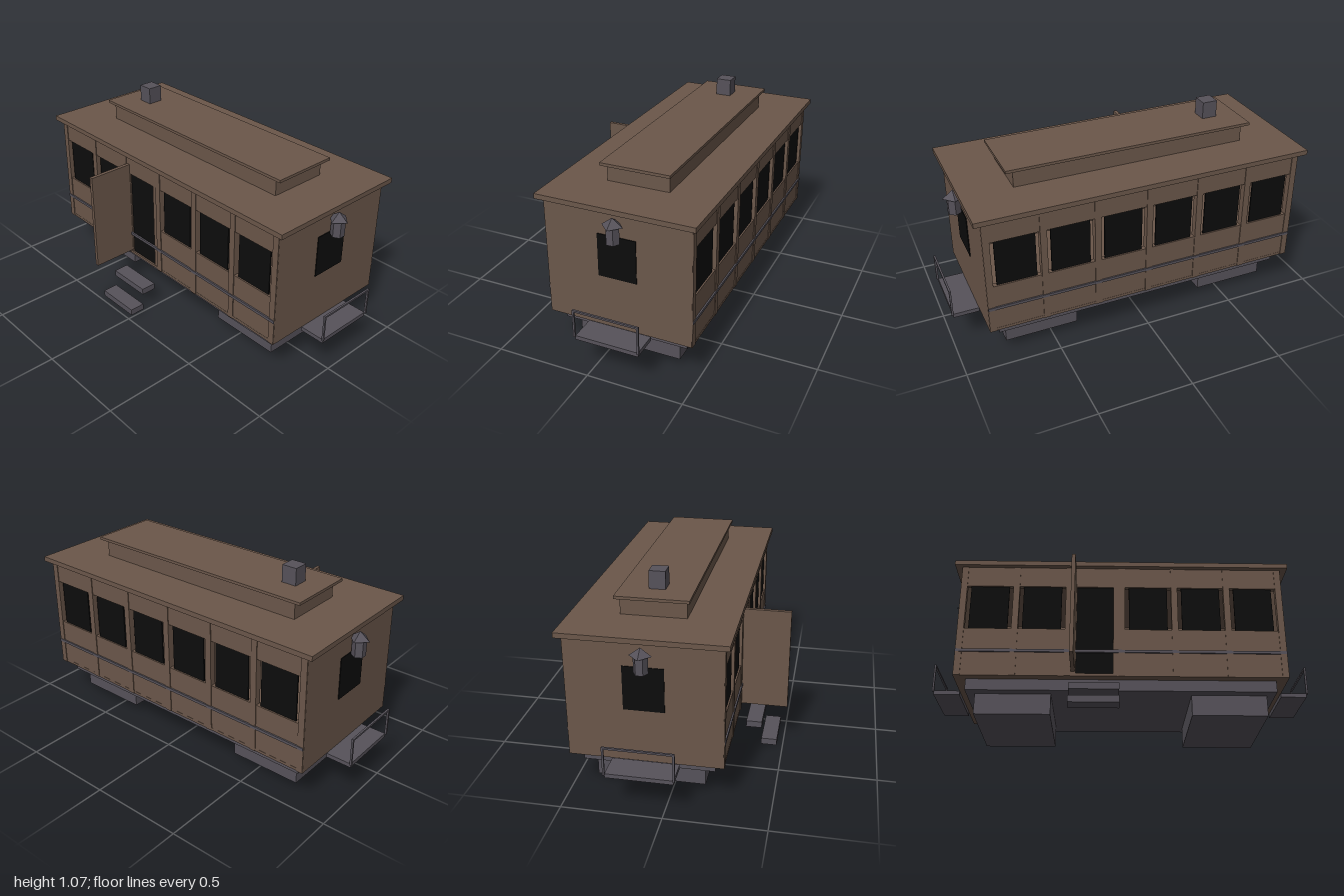
import * as THREE from 'three';

const mat = (name, color) => {
  const m = new THREE.MeshStandardMaterial({ color });
  m.name = name;
  return m;
};

export function createModel() {
  const brown = mat('brown wood', 0x6b574a);
  const grey = mat('grey iron', 0x56525a);
  const black = mat('dark glass', 0x0c0c0c);
  const car = new THREE.Group();
  car.name = 'tramCar';

  const add = (parent, name, geo, material, x = 0, y = 0, z = 0) => {
    const mesh = new THREE.Mesh(geo, material);
    mesh.name = name;
    mesh.position.set(x, y, z);
    parent.add(mesh);
    return mesh;
  };
  // Box given by its limits on each axis
  const box = (parent, name, material, x0, x1, y0, y1, z0, z1) =>
    add(parent, name, new THREE.BoxGeometry(x1 - x0, y1 - y0, z1 - z0), material,
      (x0 + x1) / 2, (y0 + y1) / 2, (z0 + z1) / 2);

  const midZ = -0.108, bay = 0.28, post = 0.017;

  // Underframe, bogies and floor
  box(car, 'underframe', grey, -0.8, 0.8, 0.155, 0.215, -0.435, 0.22);
  for (const s of [-1, 1])
    add(car, 'bogie', new THREE.BoxGeometry(0.392, 0.11, 0.546), grey, s * 0.56, 0.1, midZ);
  box(car, 'floor', brown, -0.856, 0.856, 0.215, 0.23, -0.485, 0.269);

  // Side walls: built around local z = 0 as the outer face, facing +z
  const makeSide = (name, doorBay) => {
    const side = new THREE.Group();
    side.name = name;
    box(side, 'frieze', brown, -0.857, 0.857, 0.73, 0.845, -0.03, -0.004);
    for (let i = 0; i <= 6; i++) {
      const x = (i - 3) * bay;
      box(side, 'wallPost', brown, x - post, x + post, 0.215, 0.845, -0.034, 0);
    }
    for (let i = 0; i < 6; i++) {
      const x = (i - 2.5) * bay, w = bay / 2 - post;
      if (i === doorBay) {
        box(side, 'doorOpening', black, x - 0.098, x + 0.098, 0.23, 0.73, -0.02, -0.012);
        for (const s of [-1, 1])
          add(side, 'doorJamb', new THREE.BoxGeometry(0.028, 0.515, 0.024), brown,
            x + s * 0.11, 0.4725, -0.017);
      } else {
        box(side, 'lowerPanel', brown, x - w, x + w, 0.215, 0.48, -0.03, -0.004);
        box(side, 'windowPane', black, x - 0.102, x + 0.102, 0.48, 0.73, -0.02, -0.012);
      }
    }
    box(side, 'beltRail', grey, -0.857, 0.857, 0.345, 0.36, -0.006, 0.004);
    car.add(side);
    return side;
  };
  makeSide('frontSide', 2).position.z = 0.272;
  const back = makeSide('backSide', -1);
  back.position.z = -0.488;
  back.rotation.y = Math.PI;

  // Open door and hanging steps
  box(car, 'doorLeaf', brown, -0.26, -0.24, 0.24, 0.785, 0.262, 0.515);
  box(car, 'upperStep', grey, -0.265, -0.015, 0.1, 0.135, 0.3, 0.384);
  box(car, 'lowerStep', grey, -0.265, -0.015, 0, 0.035, 0.384, 0.468);

  // Ends: wall, window, platform with railing, and lamp
  for (const s of [1, -1]) {
    const end = new THREE.Group();
    end.name = s > 0 ? 'leftEnd' : 'rightEnd';
    box(end, 'endWall', brown, 0.835, 0.858, 0.215, 0.845, -0.484, 0.268);
    box(end, 'endWindow', black, 0.857, 0.862, 0.49, 0.715, -0.207, -0.008);
    box(end, 'platform', grey, 0.855, 0.992, 0.19, 0.212, -0.273, 0.058);
    box(end, 'railingPost', grey, 0.99, 1, 0.208, 0.35, 0.055, 0.065);
    box(end, 'railingPost', grey, 0.99, 1, 0.208, 0.35, -0.28, -0.27);
    box(end, 'topRail', grey, 0.99, 1, 0.349, 0.359, -0.28, 0.065);
    add(end, 'lampBody', new THREE.CylinderGeometry(0.035, 0.035, 0.087, 6).toNonIndexed(),
      grey, 0.893, 0.747, midZ).geometry.computeVertexNormals();
    add(end, 'lampCap', new THREE.ConeGeometry(0.054, 0.041, 4).toNonIndexed(),
      grey, 0.893, 0.81, midZ).geometry.computeVertexNormals();
    // The whole end is symmetric about its middle plane, so a turn mirrors it
    if (s < 0) {
      end.rotation.y = Math.PI;
      end.position.z = 2 * midZ;
    }
    car.add(end);
  }

  // Roof, raised clerestory and chimney
  box(car, 'roof', brown, -0.895, 0.895, 0.844, 0.87, -0.513, 0.297);
  box(car, 'clerestory', brown, -0.63, 0.63, 0.869, 0.961, -0.271, 0.055);
  box(car, 'clerestoryRoof', brown, -0.67, 0.67, 0.96, 0.975, -0.29, 0.073);
  box(car, 'chimney', grey, -0.547, -0.465, 0.974, 1.066, -0.149, -0.067);

  return car;
}
